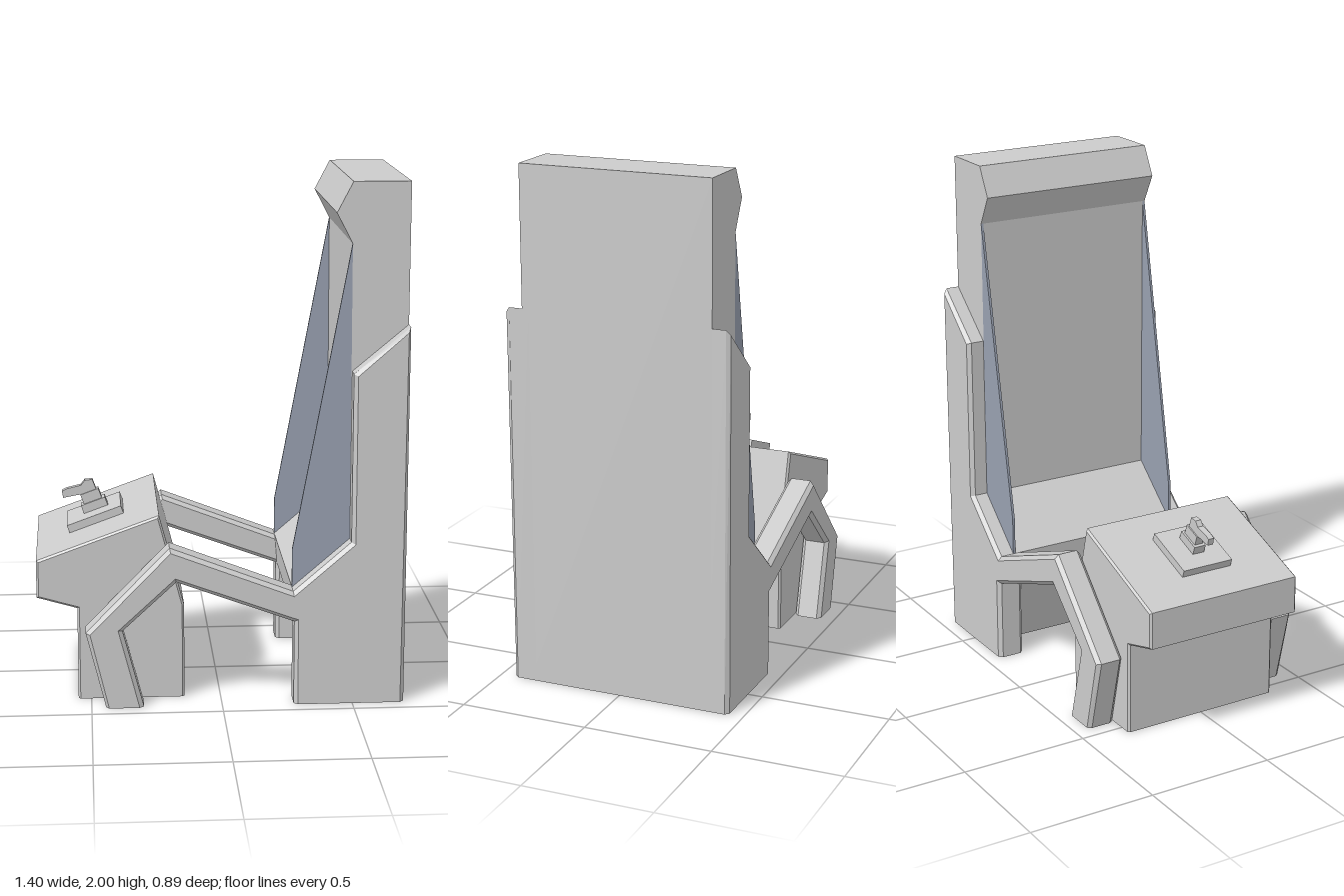
import * as THREE from 'three';

const grey = new THREE.MeshStandardMaterial({ color: 0xcccccc, flatShading: true, side: THREE.DoubleSide });
const blue = new THREE.MeshStandardMaterial({ color: 0x98a0b0, flatShading: true, side: THREE.DoubleSide });

// Side profile (x, y) extruded from z0 to z1, edges chamfered except along the floor
function profile(name, points, z0, z1, bevel = 0, material = grey) {
  const shape = new THREE.Shape(points.map(([x, y]) => new THREE.Vector2(x, y)));
  const geometry = new THREE.ExtrudeGeometry(shape, {
    depth: z1 - z0 - 2 * bevel, bevelEnabled: bevel > 0, bevelSize: bevel,
    bevelThickness: bevel, bevelOffset: -bevel, bevelSegments: 1,
  });
  geometry.translate(0, 0, z0 + bevel);
  const p = geometry.attributes.position;
  for (let i = 0; i < p.count; i++) if (p.getY(i) < bevel * 1.5) p.setY(i, 0);
  geometry.computeVertexNormals();
  const mesh = new THREE.Mesh(geometry, material);
  mesh.name = name;
  return mesh;
}

function box(name, w, h, d, x, y) {
  const mesh = new THREE.Mesh(new THREE.BoxGeometry(w, h, d), grey);
  mesh.position.set(x, y, 0);
  mesh.name = name;
  return mesh;
}

export function createModel() {
  const model = new THREE.Group();

  // Tall cabinet with header, screen recess and sloping kick panel; hollow underneath
  model.add(profile('cabinet', [
    [0.7, 0], [0.7, 2], [0.485, 2], [0.425, 1.885], [0.485, 1.77], [0.49, 0.64],
    [0.27, 0.45], [0.28, 0.33], [0.43, 0], [0.45, 0], [0.3, 0.33], [0.3, 0.45],
    [0.51, 0.62], [0.68, 0.62], [0.68, 0],
  ], -0.375, 0.375));

  // Side panels with the arm and bent leg, and the glass beside the screen
  const panel = [
    [0.7, 0], [0.7, 1.465], [0.49, 1.29], [0.49, 0.64], [0.27, 0.45], [-0.2, 0.63],
    [-0.52, 0.3], [-0.445, 0], [-0.3, 0], [-0.38, 0.305], [-0.175, 0.495],
    [0.275, 0.33], [0.275, 0],
  ];
  const glass = [[0.485, 1.77], [0.27, 0.6], [0.27, 0.45], [0.49, 0.64]];
  for (const [side, s] of [['left', 1], ['right', -1]]) {
    const span = (a, b) => (s > 0 ? [a, b] : [-b, -a]);
    model.add(profile(side + 'SidePanel', panel, ...span(0.333, 0.443), 0.015));
    model.add(profile(side + 'Glass', glass, ...span(0.365, 0.375), 0, blue));
  }

  // Control console
  model.add(profile('console', [
    [-0.55, 0], [-0.55, 0.365], [-0.705, 0.41], [-0.705, 0.557], [-0.235, 0.728],
    [-0.14, 0.37], [-0.14, 0],
  ], -0.328, 0.328, 0.008));

  // Mounting plate and stick base, tilted with the console top
  const mount = new THREE.Group();
  mount.name = 'stickMount';
  mount.position.set(-0.47, 0.64, 0);
  mount.rotation.z = 0.35;
  mount.add(box('plate', 0.225, 0.035, 0.216, 0, 0.016));
  mount.add(box('stickBase', 0.1, 0.035, 0.05, 0.01, 0.05));
  mount.add(box('stickStem', 0.075, 0.045, 0.034, 0.01, 0.085));
  model.add(mount);

  // Grip with a forward handle
  model.add(profile('stickGrip', [
    [-0.6, 0.72], [-0.605, 0.747], [-0.585, 0.757], [-0.53, 0.77], [-0.515, 0.79],
    [-0.485, 0.793], [-0.465, 0.74], [-0.5, 0.725], [-0.51, 0.737],
  ], -0.012, 0.012));

  return model;
}
